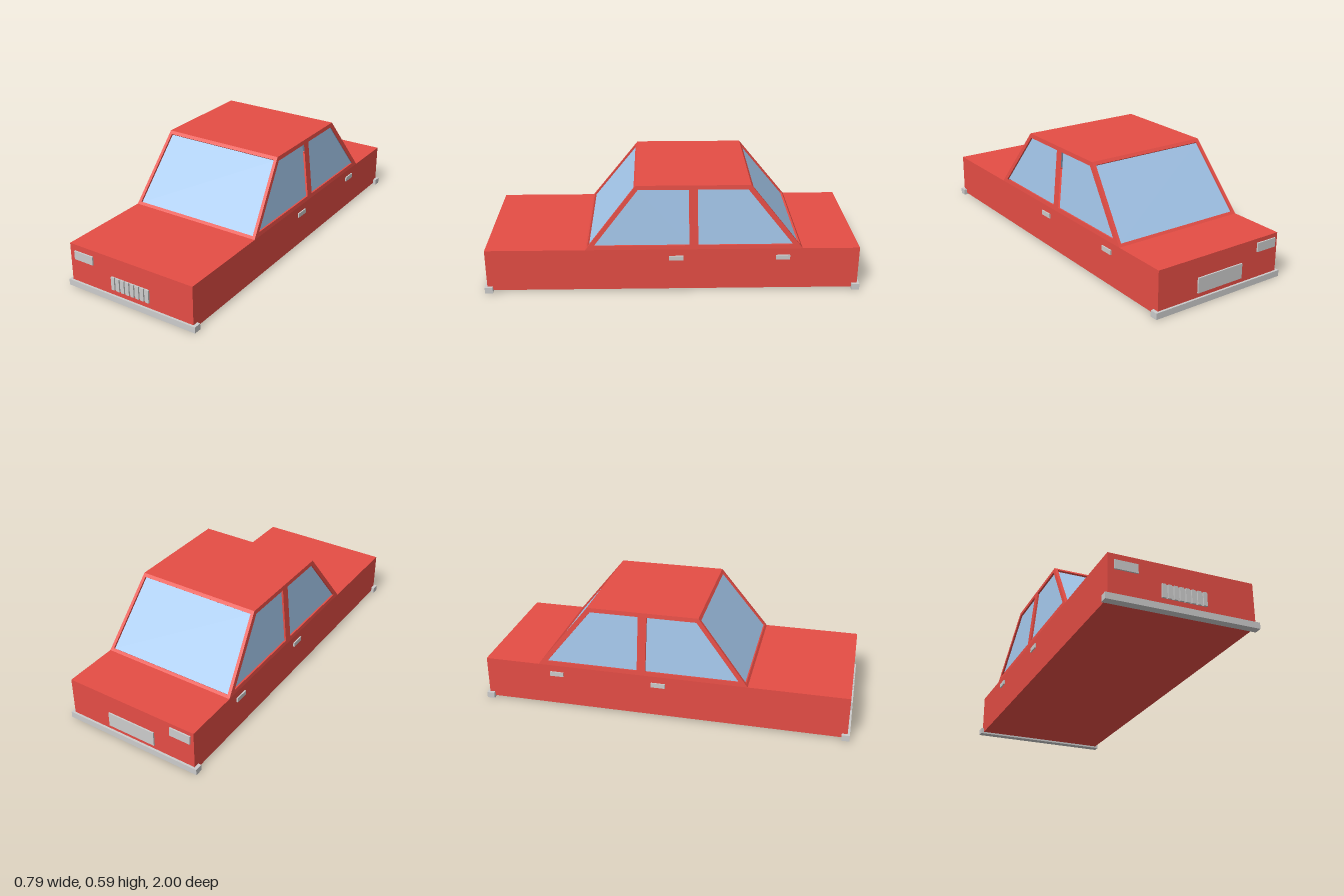
import * as THREE from 'three';

const BELT = 0.242, ROOF = 0.59;      // heights of the cabin base and the roof
const BASE_X = 0.378, TOP_X = 0.343;  // half widths of the cabin
const FRONT = [0.46, 0.19], BACK = [-0.685, -0.405]; // z at the base and at the roof
const RECESS = 0.01;

const red = new THREE.MeshStandardMaterial({ color: 0xe54d45, flatShading: true });
const grey = new THREE.MeshStandardMaterial({ color: 0xcccccc, flatShading: true });
const blue = new THREE.MeshStandardMaterial({ color: 0xa3c6ea, side: THREE.DoubleSide });

export function createModel() {
  const car = new THREE.Group();

  // Box given by its limits on each axis
  function box(name, material, [x0, x1], [y0, y1], [z0, z1], parent = car) {
    const mesh = new THREE.Mesh(new THREE.BoxGeometry(x1 - x0, y1 - y0, z1 - z0), material);
    mesh.position.set((x0 + x1) / 2, (y0 + y1) / 2, (z0 + z1) / 2);
    mesh.name = name;
    parent.add(mesh);
  }

  // Leaning cabin wall with recessed panes; outlines are [sideways, height] points
  function wall(name, outline, windows, heading, distance, lean) {
    const rise = ROOF - BELT;
    const stretch = Math.hypot(rise, lean) / rise;
    const flat = (pts) => pts.map(([u, y]) => new THREE.Vector2(u, (y - BELT) * stretch));
    const shape = new THREE.Shape(flat(outline));
    shape.holes = windows.map((w) => new THREE.Path(flat(w)));
    const group = new THREE.Group();
    group.name = name;

    const frame = new THREE.Mesh(
      new THREE.ExtrudeGeometry(shape, { depth: RECESS + 0.004, bevelEnabled: false }), red);
    frame.position.z = -RECESS - 0.004;
    frame.name = name + 'Frame';
    group.add(frame);

    windows.forEach((w) => {
      const pane = new THREE.Mesh(new THREE.ShapeGeometry(new THREE.Shape(flat(w))), blue);
      pane.position.z = -RECESS;
      pane.name = name + 'Glass';
      group.add(pane);
    });

    group.rotation.order = 'YXZ';
    group.rotation.set(-Math.atan2(lean, rise), heading, 0);
    group.position.set(Math.sin(heading) * distance, BELT, Math.cos(heading) * distance);
    car.add(group);
  }

  // Lower body
  box('body', red, [-BASE_X, BASE_X], [0.01, BELT], [-0.988, 0.988]);

  // Windscreen and rear window
  const endOutline = [[-BASE_X, BELT], [BASE_X, BELT], [TOP_X, ROOF], [-TOP_X, ROOF]];
  const endWindow = [[-0.36, 0.255], [0.36, 0.255], [0.328, 0.575], [-0.328, 0.575]];
  wall('windscreen', endOutline, [endWindow], 0, FRONT[0], FRONT[0] - FRONT[1]);
  wall('rearWindow', endOutline, [endWindow], Math.PI, -BACK[0], BACK[1] - BACK[0]);

  // Side walls, each with two door windows and a pillar between
  const sideOutline = [[FRONT[0], BELT], [FRONT[1], ROOF], [BACK[1], ROOF], [BACK[0], BELT]];
  const sideWindows = [
    [[0.414, 0.265], [0.18, 0.567], [-0.083, 0.567], [-0.088, 0.265]],
    [[-0.134, 0.265], [-0.13, 0.567], [-0.39, 0.567], [-0.634, 0.265]],
  ];
  for (const side of [1, -1]) {
    const turn = (pts) => pts.map(([z, y]) => [-side * z, y]);
    wall(side > 0 ? 'leftSide' : 'rightSide', turn(sideOutline), sideWindows.map(turn),
      side * Math.PI / 2, BASE_X, BASE_X - TOP_X);

    // Door handles
    const reach = [side * 0.37, side * 0.385].sort((a, b) => a - b);
    box('frontDoorHandle', grey, reach, [0.18, 0.205], [-0.056, 0.02]);
    box('rearDoorHandle', grey, reach, [0.18, 0.205], [-0.62, -0.545]);
  }

  // Roof
  box('roof', red, [-TOP_X, TOP_X], [ROOF - 0.006, ROOF], [BACK[1], FRONT[1]]);

  // Bumpers
  box('frontBumper', grey, [-0.395, 0.395], [0, 0.033], [0.958, 1]);
  box('rearBumper', grey, [-0.395, 0.395], [0, 0.033], [-1, -0.958]);

  // Single lamp at each end, on the right side, and the rear plate
  box('headlight', grey, [-0.347, -0.228], [0.162, 0.209], [0.98, 0.996]);
  box('tailLight', grey, [-0.36, -0.24], [0.172, 0.22], [-0.996, -0.98]);
  box('rearPlate', grey, [-0.14, 0.14], [0.058, 0.138], [-0.996, -0.98]);

  // Grille: a thin backing with upright bars
  const grille = new THREE.Group();
  grille.name = 'grille';
  car.add(grille);
  box('grilleBacking', grey, [-0.112, 0.12], [0.065, 0.136], [0.98, 0.99], grille);
  const bars = 8, width = 0.02, pitch = (0.232 - width) / (bars - 1);
  for (let i = 0; i < bars; i++) {
    const x = -0.112 + i * pitch;
    box('grilleBar', grey, [x, x + width], [0.065, 0.136], [0.985, 0.998], grille);
  }

  return car;
}
